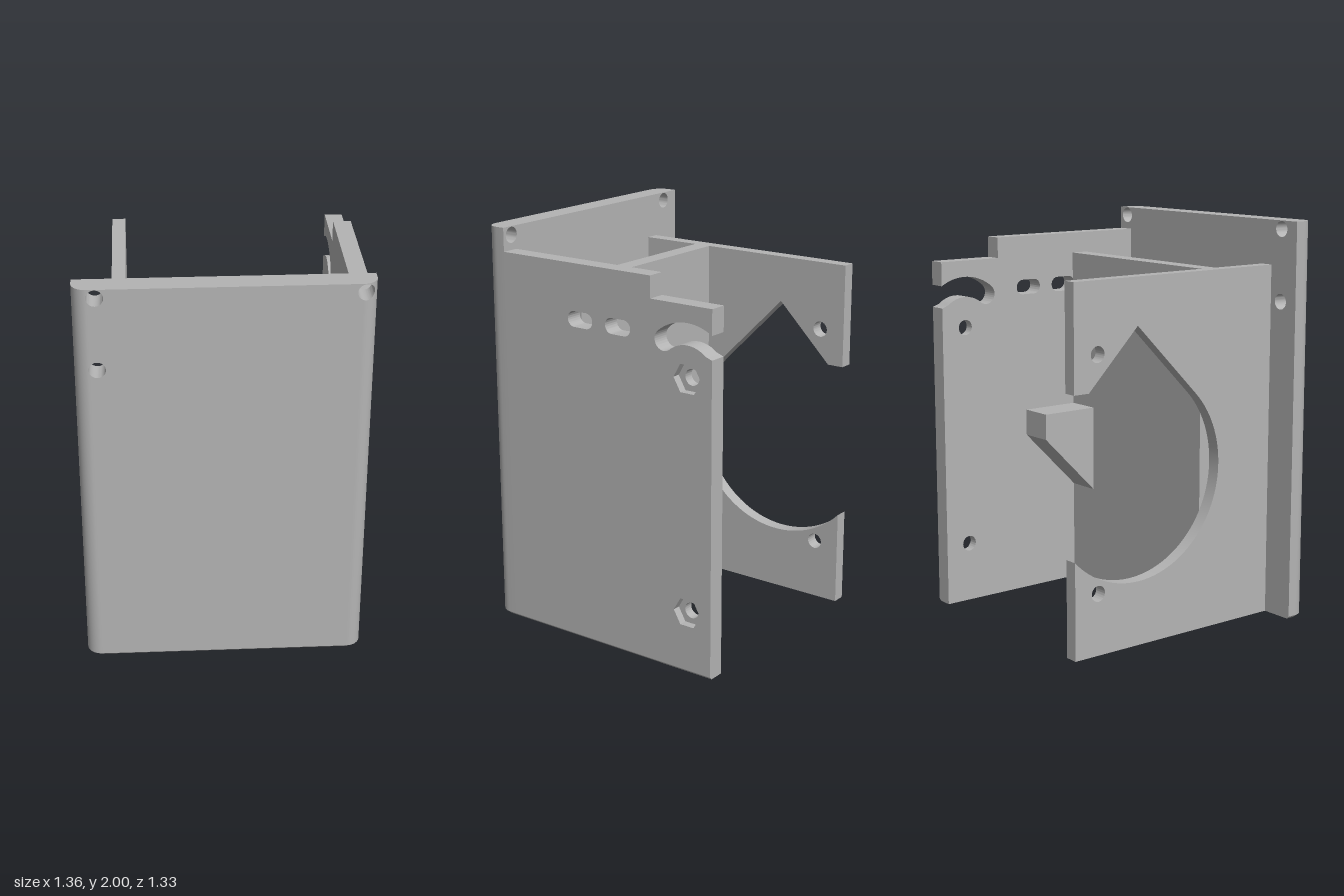
import * as THREE from 'three';
import { toCreasedNormals } from 'three/addons/utils/BufferGeometryUtils.js';

const HALF = 0.68, BACK = -0.665, PLATE = 0.55, FRONT = 0.665, ROUND = 0.07, CHAMFER = 0.012;
const SCREW_Z = -0.53, SCREW_Y = [0.305, 1.44], SCREW_R = 0.039;

function circle(cx, cy, r) {
  return new THREE.Path().absarc(cx, cy, r, 0, Math.PI * 2, true);
}

function hexagon(cx, cy, r) {
  const pts = [];
  for (let i = 0; i < 6; i++) {
    const a = -i * Math.PI / 3;
    pts.push(new THREE.Vector2(cx + r * Math.cos(a), cy + r * Math.sin(a)));
  }
  return new THREE.Path(pts);
}

function slot(z0, z1, y, r) {
  const p = new THREE.Path();
  p.absarc(z1 - r, y, r, -Math.PI / 2, Math.PI / 2, false);
  p.absarc(z0 + r, y, r, Math.PI / 2, Math.PI * 1.5, false);
  return p;
}

function polygon(points) {
  return new THREE.Shape(points.map(([a, b]) => new THREE.Vector2(a, b)));
}

// Extrudes a (z, y) outline across x from x0 to x1
function acrossX(shape, x0, x1) {
  const g = new THREE.ExtrudeGeometry(shape, { depth: x1 - x0, bevelEnabled: false, curveSegments: 32 });
  g.rotateY(-Math.PI / 2).translate(x1, 0, 0);
  return toCreasedNormals(g, 0.5);
}

// Plate built in vertical columns so the rounded edges and screw holes meet exactly
function frontPlateGeometry() {
  const r = 0.039;
  const holes = [[-0.575, 1.603], [-0.575, 1.958], [0.625, 1.958]];
  let xs = [];
  for (let i = 0; i <= 8; i++) {
    const x = HALF - ROUND + ROUND * Math.sin(i * Math.PI / 16);
    xs.push(x, -x);
  }
  for (const c of [-0.575, 0.625])
    for (let i = 0; i <= 16; i++) xs.push(c - r * Math.cos(i * Math.PI / 16));
  xs.sort((a, b) => a - b);
  xs = xs.filter((x, i) => i === 0 || x - xs[i - 1] > 1e-5);

  const frontZ = x => {
    const d = Math.max(0, Math.abs(x) - (HALF - ROUND));
    return FRONT - ROUND + Math.sqrt(Math.max(0, ROUND * ROUND - d * d));
  };
  const pos = [];
  const point = (x, y, front) => {
    const inset = y === 0 ? CHAMFER : 0;
    return [x * (1 - inset / HALF), y, front ? frontZ(x) - inset : PLATE];
  };
  const quad = (a, b, c, d) => pos.push(...a, ...b, ...c, ...a, ...c, ...d);

  for (let i = 0; i < xs.length - 1; i++) {
    const a = xs[i], b = xs[i + 1], m = (a + b) / 2;
    const levels = [[0, 0], [CHAMFER, CHAMFER], [CHAMFER, CHAMFER]];
    for (const [cx, cy] of holes) {
      if (Math.abs(m - cx) >= r) continue;
      const h = x => Math.sqrt(Math.max(0, r * r - (x - cx) ** 2));
      levels.push([cy - h(a), cy - h(b)], [cy + h(a), cy + h(b)]);
    }
    levels.push([2, 2]);
    for (let k = 0; k < levels.length; k += 2) {
      const [la, lb] = levels[k], [ha, hb] = levels[k + 1];
      const f = [point(a, la, true), point(b, lb, true), point(b, hb, true), point(a, ha, true)];
      const n = [point(a, la), point(b, lb), point(b, hb), point(a, ha)];
      quad(f[0], f[1], f[2], f[3]);
      quad(n[1], n[0], n[3], n[2]);
      if (k !== 0) quad(f[3], f[2], n[2], n[3]);
      if (k !== 2) quad(n[0], n[1], f[1], f[0]);
    }
  }
  // Side edges
  for (const [lo, hi] of [[0, CHAMFER], [CHAMFER, 2]]) {
    quad(point(HALF, lo, true), point(HALF, lo), point(HALF, hi), point(HALF, hi, true));
    quad(point(-HALF, lo), point(-HALF, lo, true), point(-HALF, hi, true), point(-HALF, hi));
  }
  const g = new THREE.BufferGeometry();
  g.setAttribute('position', new THREE.Float32BufferAttribute(pos, 3));
  return toCreasedNormals(g, 0.5);
}

// Stepped wall outline with a curved slot opening through its back edge
function slottedWallShape(bottom) {
  const s = new THREE.Shape();
  const cz = SCREW_Z, cy = 1.44, R = 0.207, r = 0.051;
  const sweep = 0.68;
  const a0 = Math.PI / 2 - sweep;
  const aOut = Math.PI - Math.acos((cz - BACK) / (R + r));
  s.moveTo(PLATE, bottom);
  s.lineTo(PLATE, 1.885);
  s.lineTo(-0.325, 1.885);
  s.lineTo(-0.325, 1.78);
  s.lineTo(BACK, 1.78);
  s.absarc(cz, cy, R + r, aOut, a0, true);
  s.absarc(cz + R * Math.cos(a0), cy + R * Math.sin(a0), r, a0, a0 - Math.PI, true);
  s.absarc(cz, cy, R - r, a0, Math.PI / 2 + sweep, false);
  s.lineTo(BACK, 1.548);
  s.lineTo(BACK, bottom);
  s.holes.push(slot(0.013, 0.16, 1.62, 0.038), slot(-0.21, -0.063, 1.62, 0.038));
  return s;
}

// Wall with a teardrop cut-out that opens to the back
function cutoutWallShape() {
  const cz = -0.295, cy = 0.83, R = 0.51, lip = 1.265;
  const peak = cy + R * Math.SQRT2;
  const s = new THREE.Shape();
  s.moveTo(BACK, 0);
  s.lineTo(PLATE, 0);
  s.lineTo(PLATE, 1.78);
  s.lineTo(BACK, 1.78);
  s.lineTo(BACK, lip);
  s.lineTo(cz - (peak - lip), lip);
  s.lineTo(cz, peak);
  const end = -Math.PI + Math.acos((cz - BACK) / R);
  s.absarc(cz, cy, R, Math.PI / 4, end, true);
  s.lineTo(BACK, 0);
  for (const y of SCREW_Y) s.holes.push(circle(SCREW_Z, y, SCREW_R));
  return s;
}

export function createModel() {
  const model = new THREE.Group();
  model.name = 'bracketHousing';
  const grey = new THREE.MeshStandardMaterial({ color: 0xb4b4b4 });
  grey.name = 'plain grey';

  const add = (name, geometry) => {
    const mesh = new THREE.Mesh(geometry, grey);
    mesh.name = name;
    model.add(mesh);
  };
  const block = (name, x0, x1, y0, y1, z0, z1) => {
    const g = new THREE.BoxGeometry(x1 - x0, y1 - y0, z1 - z0);
    g.translate((x0 + x1) / 2, (y0 + y1) / 2, (z0 + z1) / 2);
    add(name, g);
  };

  add('frontPlate', frontPlateGeometry());

  // Left wall: inner layer has round holes, outer layer has hexagonal nut pockets
  const inner = slottedWallShape(0), outer = slottedWallShape(CHAMFER);
  for (const y of SCREW_Y) {
    inner.holes.push(circle(SCREW_Z, y, SCREW_R));
    outer.holes.push(hexagon(SCREW_Z, y, 0.076));
  }
  add('leftWallInner', acrossX(inner, 0.592, 0.64));
  add('leftWallOuter', acrossX(outer, 0.64, HALF));

  // Chamfered lower edge of the left wall
  const edge = polygon([[0.64, 0], [HALF - CHAMFER, 0], [HALF, CHAMFER], [0.64, CHAMFER]]);
  const edgeGeometry = new THREE.ExtrudeGeometry(edge, { depth: PLATE - BACK, bevelEnabled: false });
  add('leftWallLowerEdge', edgeGeometry.translate(0, 0, BACK));

  add('rightWall', acrossX(cutoutWallShape(), -0.508, -0.441));

  // Cavity behind the front plate
  block('crossWall', -0.441, 0.592, 0, 1.78, 0.152, 0.24);
  block('cavityFloor', -0.441, 0.592, 0, 0.09, 0.24, PLATE);

  // Support block with a sloping underside
  const support = polygon([[0.152, 0.524], [0.152, 0.97], [-0.158, 0.97], [-0.158, 0.835]]);
  add('supportBlock', acrossX(support, 0.416, 0.592));

  return model;
}
